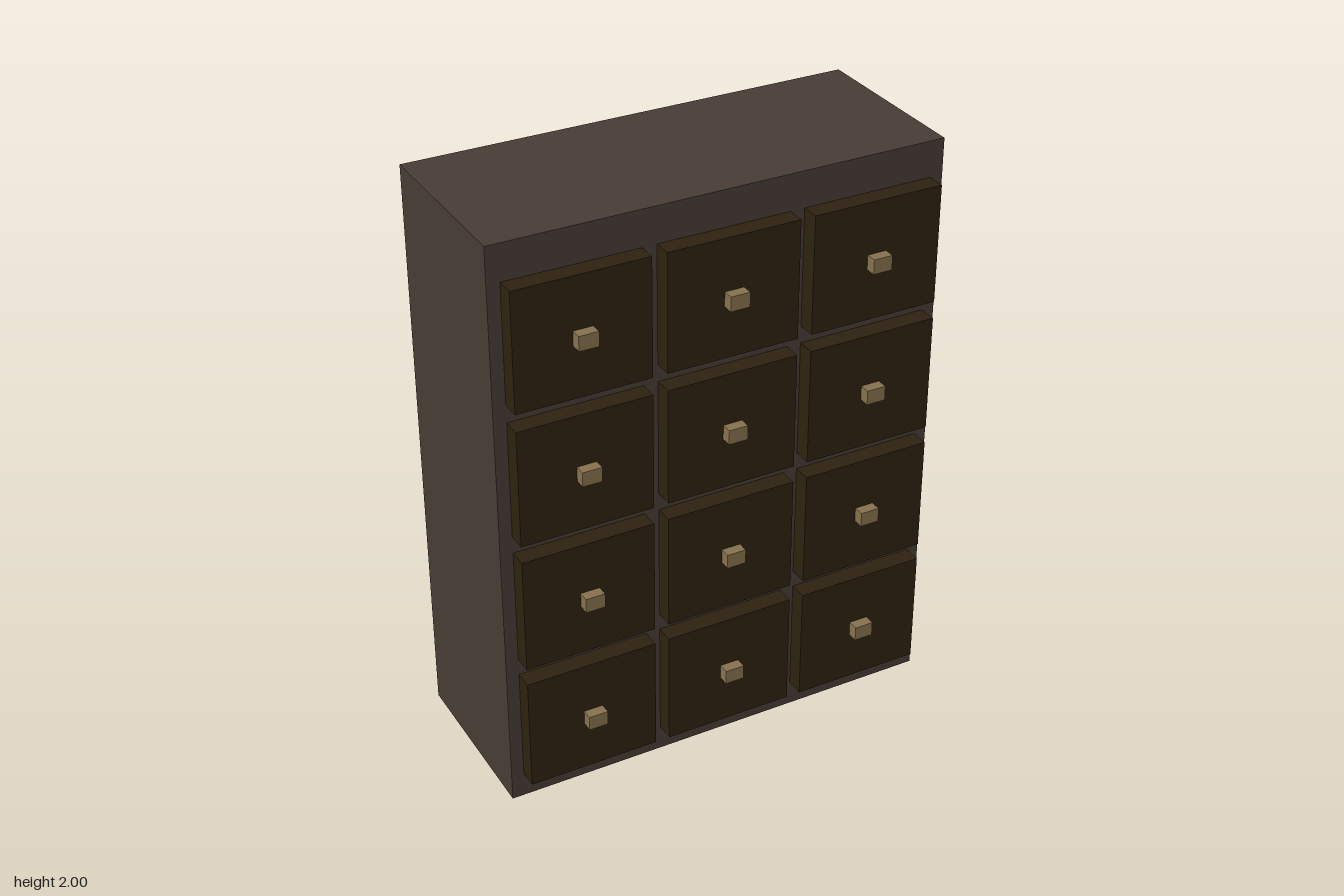
import * as THREE from 'three';

export function createModel() {
  const model = new THREE.Group();
  model.name = 'drawerCabinet';

  const material = (name, color) => {
    const m = new THREE.MeshStandardMaterial({ color });
    m.name = name;
    return m;
  };
  const carcassWood = material('carcassWood', 0x483c36);
  const drawerWood = material('drawerWood', 0x2e2210);
  const knobBrass = material('knobBrass', 0x87724f);

  // Box spanning zBack to zFront, centred on x and y
  const addBox = (parent, name, mat, w, h, x, y, zBack, zFront) => {
    const mesh = new THREE.Mesh(new THREE.BoxGeometry(w, h, zFront - zBack), mat);
    mesh.name = name;
    mesh.position.set(x, y, (zBack + zFront) / 2);
    parent.add(mesh);
  };

  // Solid cabinet body
  addBox(model, 'carcass', carcassWood, 1.534, 2, 0, 1, -0.356, 0.256);

  // Four rows of three drawers, each with a small square knob
  const columns = ['Right', 'Middle', 'Left'];
  for (let row = 0; row < 4; row++) {
    columns.forEach((side, col) => {
      const x = (col - 1) * 0.499;
      const y = 0.29 + row * 0.462;
      const drawer = new THREE.Group();
      drawer.name = `drawer${side}${row + 1}`;
      addBox(drawer, 'drawerFront', drawerWood, 0.45, 0.403, x, y, 0.256, 0.319);
      addBox(drawer, 'knob', knobBrass, 0.066, 0.05, x, y, 0.319, 0.356);
      model.add(drawer);
    });
  }

  return model;
}
